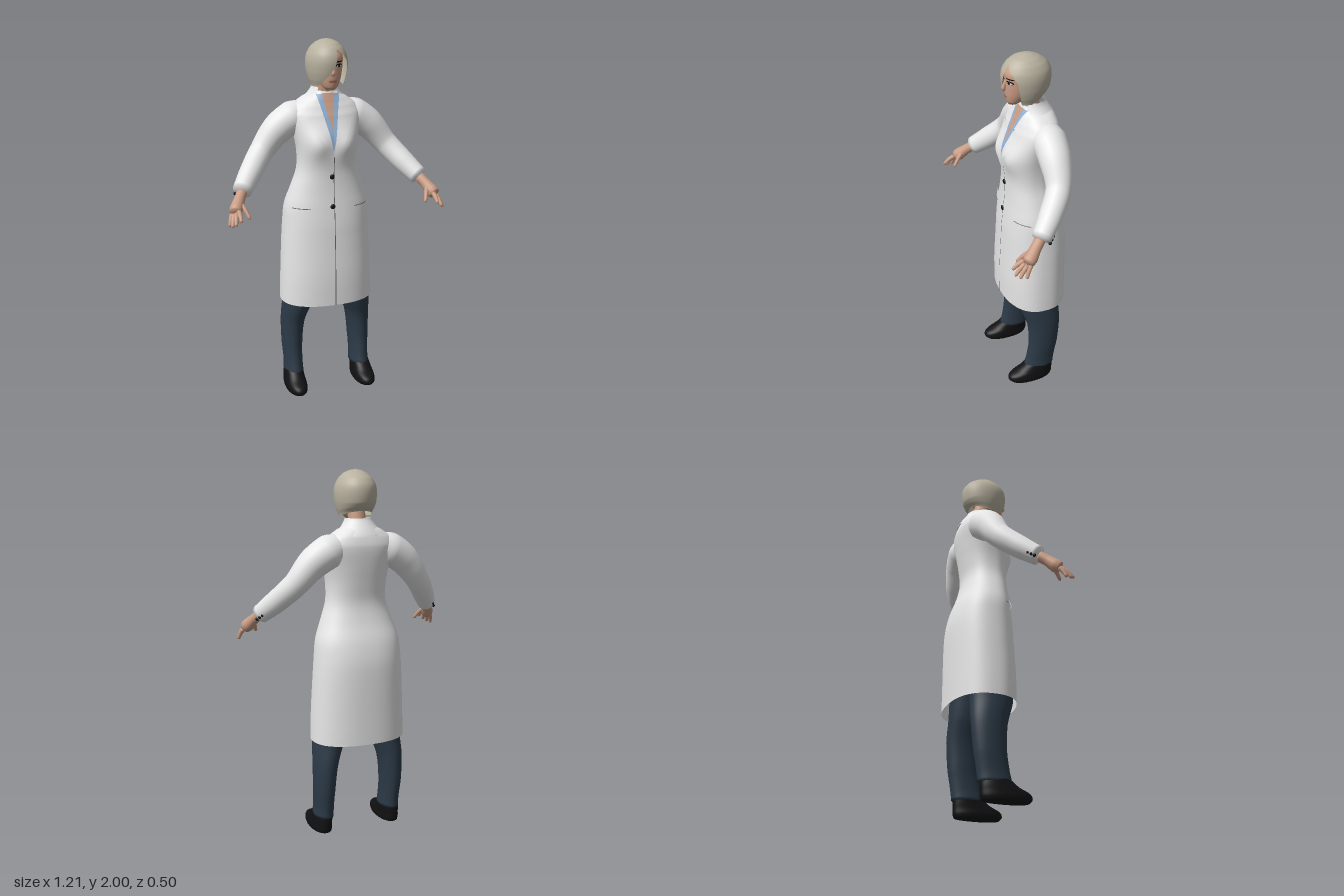
import * as THREE from 'three';
import { mergeVertices } from 'three/addons/utils/BufferGeometryUtils.js';

const paint = (name, color) => {
  const m = new THREE.MeshStandardMaterial({ color, side: THREE.DoubleSide });
  m.name = name;
  return m;
};

// Smooth surface from a grid of points fn(u, v), u running right and v running up
function grid(nu, nv, fn) {
  const pos = [], idx = [];
  for (let i = 0; i <= nv; i++) for (let j = 0; j <= nu; j++) pos.push(...fn(j / nu, i / nv));
  for (let i = 0; i < nv; i++) for (let j = 0; j < nu; j++) {
    const a = i * (nu + 1) + j, b = a + nu + 1;
    idx.push(a, a + 1, b + 1, a, b + 1, b);
  }
  let g = new THREE.BufferGeometry();
  g.setAttribute('position', new THREE.Float32BufferAttribute(pos, 3));
  g.setIndex(idx);
  g = mergeVertices(g, 1e-5);
  g.computeVertexNormals();
  return g;
}

// Cross-section [y, halfWidth, zFront, zBack, xCentre] at height y
function section(rows, y) {
  let i = 0;
  while (i < rows.length - 2 && y > rows[i + 1][0]) i++;
  const k = THREE.MathUtils.clamp((y - rows[i][0]) / (rows[i + 1][0] - rows[i][0]), 0, 1);
  const r = n => rows[THREE.MathUtils.clamp(n, 0, rows.length - 1)];
  return [0, 1, 2, 3, 4].map(c => {
    const [a, b, d, e] = [i - 1, i, i + 1, i + 2].map(n => r(n)[c] ?? 0);
    if (c === 0) return y;
    return b + 0.5 * k * (d - a + k * (2 * a - 5 * b + 4 * d - e + k * (3 * (b - d) + e - a)));
  });
}

const spow = (v, p) => Math.sign(v) * Math.abs(v) ** p;
const noBump = () => 0;

// Body of stacked cross-sections; from/to give the angle range at each height
function loft(rows, { p = 1, n = 48, sub = 4, cap = false, from = () => 0, to = () => Math.PI * 2, bump = noBump, lift = noBump } = {}) {
  const ys = [];
  rows.slice(0, -1).forEach((r, i) => {
    for (let k = 0; k < sub; k++) ys.push(r[0] + (rows[i + 1][0] - r[0]) * k / sub);
  });
  ys.push(rows.at(-1)[0]);
  if (cap) { ys.unshift(ys[0]); ys.push(ys.at(-1)); }
  const last = ys.length - 1;
  return grid(n, last, (u, v) => {
    const i = Math.round(v * last), y = ys[i];
    const [, hx, zf, zb, cx] = section(rows, y);
    const s = cap && (i === 0 || i === last) ? 0 : 1;
    const a = from(y) + (to(y) - from(y)) * u;
    const x = cx + s * hx * spow(Math.sin(a), p);
    const z = (zf + zb) / 2 + s * (zf - zb) / 2 * spow(Math.cos(a), p);
    return [x, y + lift(a, y), z + (Math.cos(a) > 0 ? bump(x, y) : 0)];
  });
}

// Depth of the front of a loft at x, y
function frontZ(rows, p, bump, x, y) {
  const [, hx, zf, zb, cx] = section(rows, y);
  const s = Math.min(Math.abs(x - cx) / hx, 0.98) ** (1 / p);
  return (zf + zb) / 2 + (zf - zb) / 2 * Math.sqrt(1 - s * s) ** p + bump(x, y);
}

// Thin plate lying on the front of a loft, between xl(y) and xr(y)
const plate = (rows, p, bump, off, y0, y1, xl, xr, nu = 8, nv = 24) => grid(nu, nv, (u, v) => {
  const y = y0 + (y1 - y0) * v, x = xl(y) + (xr(y) - xl(y)) * u;
  return [x, y, frontZ(rows, p, bump, x, y) + off];
});

// Tapered round limb through points [x, y, z, radius]
function limb(pts, n = 24, radial = 16) {
  const curve = new THREE.CatmullRomCurve3(pts.map(q => new THREE.Vector3(q[0], q[1], q[2])));
  const fr = curve.computeFrenetFrames(n + 2);
  return grid(radial, n + 2, (u, v) => {
    const i = Math.round(v * (n + 2)), t = curve.getUtoTmapping(v) * (pts.length - 1);
    const k = Math.min(Math.floor(t), pts.length - 2);
    let r = THREE.MathUtils.lerp(pts[k][3], pts[k + 1][3], t - k);
    if (i === 0 || i === n + 2) r = 0;
    const a = u * Math.PI * 2;
    return curve.getPointAt(v).addScaledVector(fr.normals[i], r * Math.cos(a)).addScaledVector(fr.binormals[i], r * Math.sin(a)).toArray();
  });
}

// Piecewise linear rule from [input, output] pairs
const ramp = pts => y => {
  let i = 0;
  while (i < pts.length - 2 && y > pts[i + 1][0]) i++;
  const k = THREE.MathUtils.clamp((y - pts[i][0]) / (pts[i + 1][0] - pts[i][0]), 0, 1);
  return THREE.MathUtils.lerp(pts[i][1], pts[i + 1][1], k);
};

const COAT = [[0.535, 0.265, 0.11, -0.25], [0.7, 0.26, 0.11, -0.25], [0.9, 0.25, 0.1, -0.25], [1.0, 0.243, 0.095, -0.245],
  [1.1, 0.233, 0.085, -0.225], [1.2, 0.2, 0.075, -0.19], [1.3, 0.168, 0.072, -0.17], [1.4, 0.165, 0.08, -0.18],
  [1.5, 0.18, 0.07, -0.195], [1.6, 0.2, 0.03, -0.205], [1.65, 0.175, 0.005, -0.195], [1.685, 0.125, -0.01, -0.18],
  [1.71, 0.08, -0.02, -0.16], [1.725, 0.06, -0.025, -0.145]];
const HEAD = [[1.738, 0.022, 0.05, 0.0], [1.755, 0.042, 0.06, -0.03], [1.79, 0.06, 0.066, -0.07], [1.83, 0.073, 0.067, -0.11],
  [1.87, 0.08, 0.066, -0.13], [1.91, 0.08, 0.066, -0.13], [1.95, 0.065, 0.04, -0.115]];
const HAIR = [[1.755, 0.088, 0.052, -0.135], [1.79, 0.1, 0.068, -0.155], [1.83, 0.109, 0.08, -0.17], [1.88, 0.112, 0.086, -0.177],
  [1.92, 0.105, 0.08, -0.172], [1.955, 0.086, 0.06, -0.15], [1.98, 0.06, 0.03, -0.115], [1.994, 0.03, -0.01, -0.08], [2.0, 0.001, -0.045, -0.047]];
const bust = (x, y) => 0.025 * Math.exp(-((Math.abs(x) - 0.085) ** 2 + (y - 1.45) ** 2) / 0.004);

export function createModel() {
  const model = new THREE.Group();
  const white = paint('coat white', 0xe6e6e6), navy = paint('trouser navy', 0x2c3a47), black = paint('black', 0x111113),
    blonde = paint('ash blonde', 0xb8b19f), skin = paint('skin', 0xc99c84), blue = paint('shirt blue', 0x8fb0d2),
    grey = paint('seam grey', 0x6c6c70), lip = paint('lip', 0xa8695c), eyeWhite = paint('eye white', 0xded8d2);
  const add = (name, geo, mat, at) => {
    const m = new THREE.Mesh(geo, mat);
    m.name = name;
    if (at) m.position.set(...at);
    model.add(m);
    return m;
  };
  const onCoat = (name, mat, off, y0, y1, xl, xr) => add(name, plate(COAT, 0.85, bust, off, y0, y1, xl, xr), mat);

  // Coat body with shirt and skin in the neckline
  add('coat', loft(COAT, { p: 0.85, n: 72, bump: bust }), white);
  const shirtEdge = ramp([[1.41, 0], [1.6, 0.04], [1.71, 0.066]]), skinEdge = ramp([[1.52, 0], [1.715, 0.036]]);
  onCoat('shirt', blue, 0.005, 1.41, 1.71, y => -shirtEdge(y), shirtEdge);
  onCoat('neckline', skin, 0.009, 1.52, 1.715, y => -skinEdge(y), skinEdge);
  const lapelEdge = ramp([[1.39, 0.012], [1.5, 0.075], [1.6, 0.128]]), collarEdge = ramp([[1.612, 0.112], [1.65, 0.115], [1.71, 0.075]]);
  const rad = Math.PI / 180;
  add('collar', loft([[1.655, 0.145, 0.0, -0.2], [1.69, 0.11, -0.008, -0.182], [1.72, 0.085, -0.012, -0.162], [1.748, 0.072, -0.02, -0.145]],
    { from: () => 42 * rad, to: () => 318 * rad }), white);

  // Front closure
  onCoat('frontSeam', grey, 0.003, 0.537, 1.39, () => 0.003, () => 0.007);
  for (const y of [1.11, 1.275]) {
    add('coatButton', new THREE.SphereGeometry(0.014, 16, 10), black, [-0.005, y, frontZ(COAT, 0.85, bust, -0.005, y) + 0.003]).scale.z = 0.5;
  }

  // Head and face
  add('neck', limb([[0, 1.6, -0.085, 0.05], [0, 1.7, -0.075, 0.047], [0, 1.82, -0.05, 0.047]]), skin);
  add('head', loft(HEAD, { cap: true }), skin);
  add('nose', limb([[0, 1.873, 0.06, 0.006], [0, 1.845, 0.073, 0.009], [0, 1.828, 0.076, 0.012], [0, 1.82, 0.066, 0.009]], 12, 10), skin);
  const onFace = (name, mat, off, x, y, w, h) => {
    const half = yy => w * Math.sqrt(Math.max(0, 1 - ((yy - y) / h) ** 2));
    add(name, plate(HEAD, 1, noBump, off, y - h, y + h, yy => x - half(yy), yy => x + half(yy), 8, 10), mat);
  };
  onFace('mouth', lip, 0.004, 0, 1.787, 0.023, 0.007);
  for (const s of [1, -1]) {
    onFace('eyeLine', black, 0.002, s * 0.036, 1.868, 0.02, 0.0095);
    onFace('eye', eyeWhite, 0.004, s * 0.036, 1.866, 0.015, 0.006);
    onFace('iris', black, 0.006, s * 0.036, 1.867, 0.0065, 0.0065);
    onFace('eyebrow', black, 0.003, s * 0.038, 1.888, 0.022, 0.0035);
  }

  // Bob with a fringe swept across the right side of the face
  const openLeft = ramp([[1.755, 60], [1.88, 54], [1.92, 38], [1.955, 14], [1.97, 9]]);
  const openRight = ramp([[1.755, -50], [1.79, -27], [1.83, -6], [1.88, 7], [1.955, 14], [1.97, 9]]);
  add('hair', loft(HAIR, { n: 64, sub: 5, from: y => openLeft(y) * rad, to: y => (360 + openRight(y)) * rad,
    lift: (a, y) => 0.03 * Math.max(0, -Math.cos(a)) * Math.max(0, (1.83 - y) / 0.075) }), blonde);

  for (const s of [1, -1]) {
    const flip = pts => pts.map(([x, ...rest]) => [x * s, ...rest]);
    const band = (name, mat, off, y0, y1, inner, outer) => onCoat(name, mat, off, y0, y1,
      y => (s > 0 ? inner(y) : -outer(y)), y => (s > 0 ? outer(y) : -inner(y)));

    // Lapels, collar points and pockets
    band('lapel', white, 0.012, 1.39, 1.6, y => shirtEdge(y), lapelEdge);
    band('collarPoint', white, 0.014, 1.612, 1.71, y => shirtEdge(y), collarEdge);
    band('pocketFlap', white, 0.008, 1.115, 1.165, () => 0.085, () => 0.18);
    band('pocketSeam', grey, 0.004, 1.098, 1.102, () => 0.125, () => 0.215);

    // Sleeve with cuff buttons
    add('sleeve', limb(flip([[0.1, 1.6, -0.105, 0.07], [0.17, 1.578, -0.105, 0.092], [0.26, 1.52, -0.1, 0.084], [0.355, 1.41, -0.08, 0.066],
      [0.44, 1.31, 0.0, 0.061], [0.512, 1.228, 0.085, 0.05]]), 32, 24), white);
    for (let i = 0; i < 3; i++) {
      add('cuffButton', new THREE.SphereGeometry(0.009, 10, 8), black, [s * (0.51 + 0.011 * i), 1.243 - 0.012 * i, 0.013 + 0.013 * i]);
    }

    // Hand
    add('palm', limb(flip([[0.5, 1.24, 0.075, 0.028], [0.527, 1.205, 0.115, 0.029], [0.55, 1.17, 0.15, 0.036], [0.563, 1.15, 0.175, 0.03]]), 14), skin);
    const fingers = [[[0.53, 1.2, 0.13], [0.49, 1.12, 0.205]], [[0.545, 1.165, 0.18], [0.545, 1.122, 0.248]],
      [[0.557, 1.155, 0.18], [0.573, 1.102, 0.243]], [[0.568, 1.15, 0.172], [0.588, 1.09, 0.222]], [[0.574, 1.15, 0.158], [0.597, 1.086, 0.19]]];
    fingers.forEach(([a, b], i) => {
      const mid = a.map((v, k) => (v + b[k]) / 2 + (k === 1 ? 0.007 : 0));
      add(i ? 'finger' : 'thumb', limb(flip([[...a, 0.014], [...mid, 0.012], [...b, 0.008]]), 10, 10), skin);
    });

    // Trouser leg and shoe
    add('trouserLeg', loft([[0.09, 0.055, 0.035, -0.145, s * 0.202], [0.15, 0.053, 0.022, -0.152, s * 0.202], [0.25, 0.058, 0.008, -0.168, s * 0.203],
      [0.4, 0.067, 0.015, -0.18, s * 0.196], [0.53, 0.085, 0.055, -0.178, s * 0.17], [0.75, 0.1, 0.065, -0.18, s * 0.14],
      [1.0, 0.1, 0.055, -0.19, s * 0.1]], { cap: true }), navy);
    add('shoe', loft([[0, 0.056, 0.125, -0.128, s * 0.207], [0.018, 0.06, 0.14, -0.134, s * 0.207], [0.045, 0.058, 0.128, -0.135, s * 0.207],
      [0.07, 0.055, 0.075, -0.135, s * 0.206], [0.1, 0.052, 0.035, -0.132, s * 0.204], [0.12, 0.046, 0.015, -0.125, s * 0.203]],
      { p: 0.9, cap: true }), black);
  }
  return model;
}
